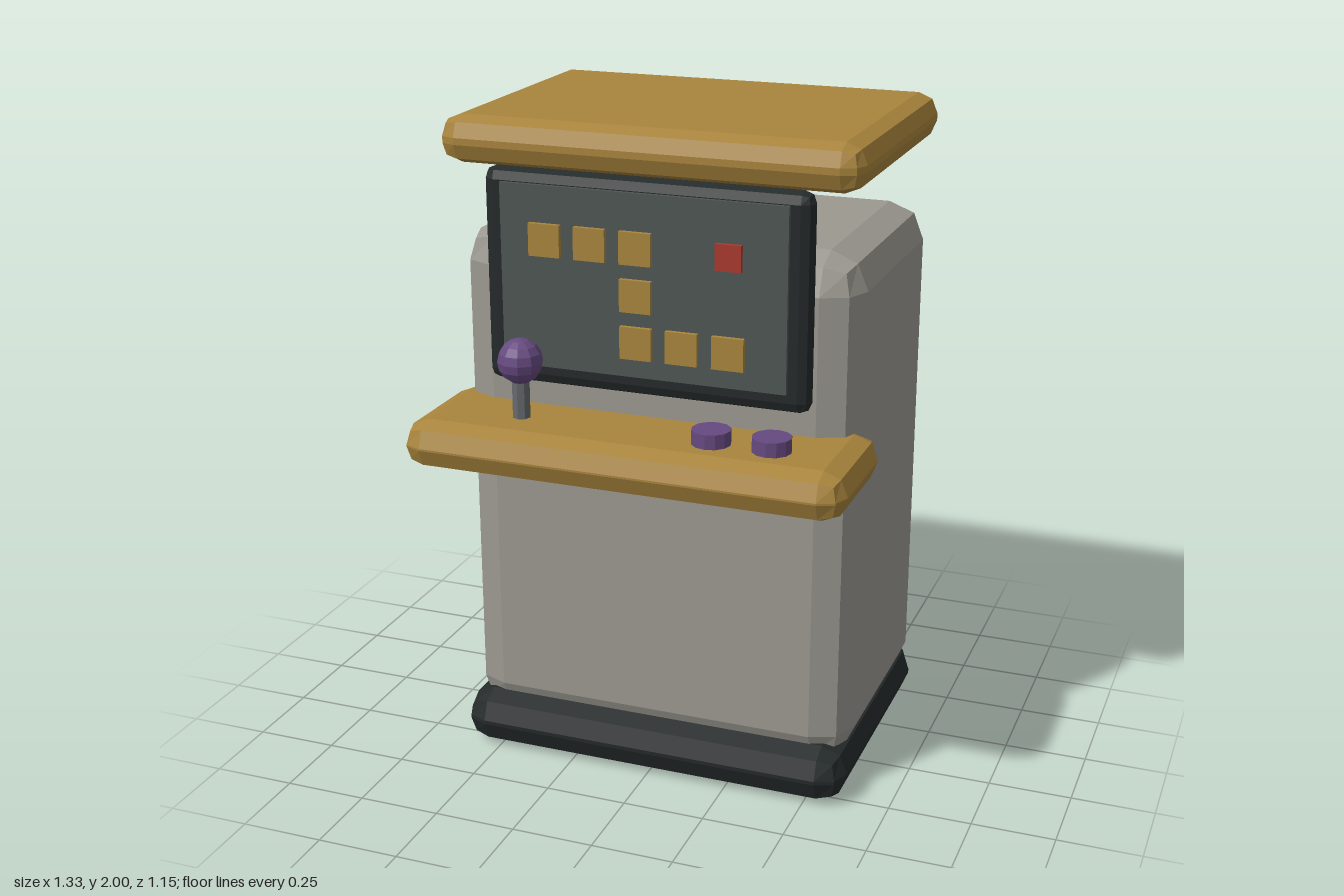
import * as THREE from 'three';
import { RoundedBoxGeometry } from 'three/addons/geometries/RoundedBoxGeometry.js';

const paint = (color) => new THREE.MeshStandardMaterial({ color, flatShading: true });

export function createModel() {
  const model = new THREE.Group();
  model.name = 'arcadeCabinet';

  const grey = paint(0x9b9890);
  const black = paint(0x24292a);
  const gold = paint(0xa8843c);
  const glass = paint(0x4e5553);
  const red = paint(0xa8392c);
  const purple = paint(0x664a80);
  const metal = paint(0x666a6c);

  const add = (name, geometry, material, x, y, z) => {
    const mesh = new THREE.Mesh(geometry, material);
    mesh.name = name;
    mesh.position.set(x, y, z);
    model.add(mesh);
    return mesh;
  };

  // Box given by its width and its y and z extents, with faceted rounded edges
  const slab = (name, material, width, [y0, y1], [z0, z1], radius) =>
    add(name, new RoundedBoxGeometry(width, y1 - y0, z1 - z0, 1, radius), material,
      0, (y0 + y1) / 2, (z0 + z1) / 2);

  // Cabinet
  slab('base', black, 1.24, [0, 0.172], [-0.56, 0.335], 0.08);
  slab('body', grey, 1.22, [0.09, 1.67], [-0.575, 0.268], 0.11);
  slab('controlShelf', gold, 1.33, [1.006, 1.152], [0.13, 0.575], 0.07);
  slab('roof', gold, 1.256, [1.86, 2], [-0.565, 0.335], 0.06);

  // Screen and its frame
  slab('screenFrame', black, 0.985, [1.226, 1.862], [0.246, 0.318], 0.035);
  add('screen', new THREE.BoxGeometry(0.86, 0.535, 0.03), glass, 0, 1.557, 0.316);

  // Snake of square tiles and a red target tile
  const column = (i) => -0.289 + i * 0.1378;
  const row = (j) => 1.67 - j * 0.1378;
  const tile = new THREE.BoxGeometry(0.095, 0.095, 0.015);
  [[0, 0], [1, 0], [2, 0], [2, 1], [2, 2], [3, 2], [4, 2]].forEach(([i, j]) =>
    add('snakeTile', tile, gold, column(i), row(j), 0.341));
  add('targetTile', new THREE.BoxGeometry(0.076, 0.076, 0.015), red, column(4), row(0), 0.341);

  // Joystick
  add('joystickShaft', new THREE.CylinderGeometry(0.027, 0.027, 0.18, 8), metal, -0.35, 1.22, 0.395);
  add('joystickBall', new THREE.SphereGeometry(0.067, 10, 8), purple, -0.35, 1.322, 0.395);

  // Buttons
  for (const x of [0.24, 0.418]) {
    add('button', new THREE.CylinderGeometry(0.057, 0.057, 0.06, 12), purple, x, 1.165, 0.412);
  }

  return model;
}
